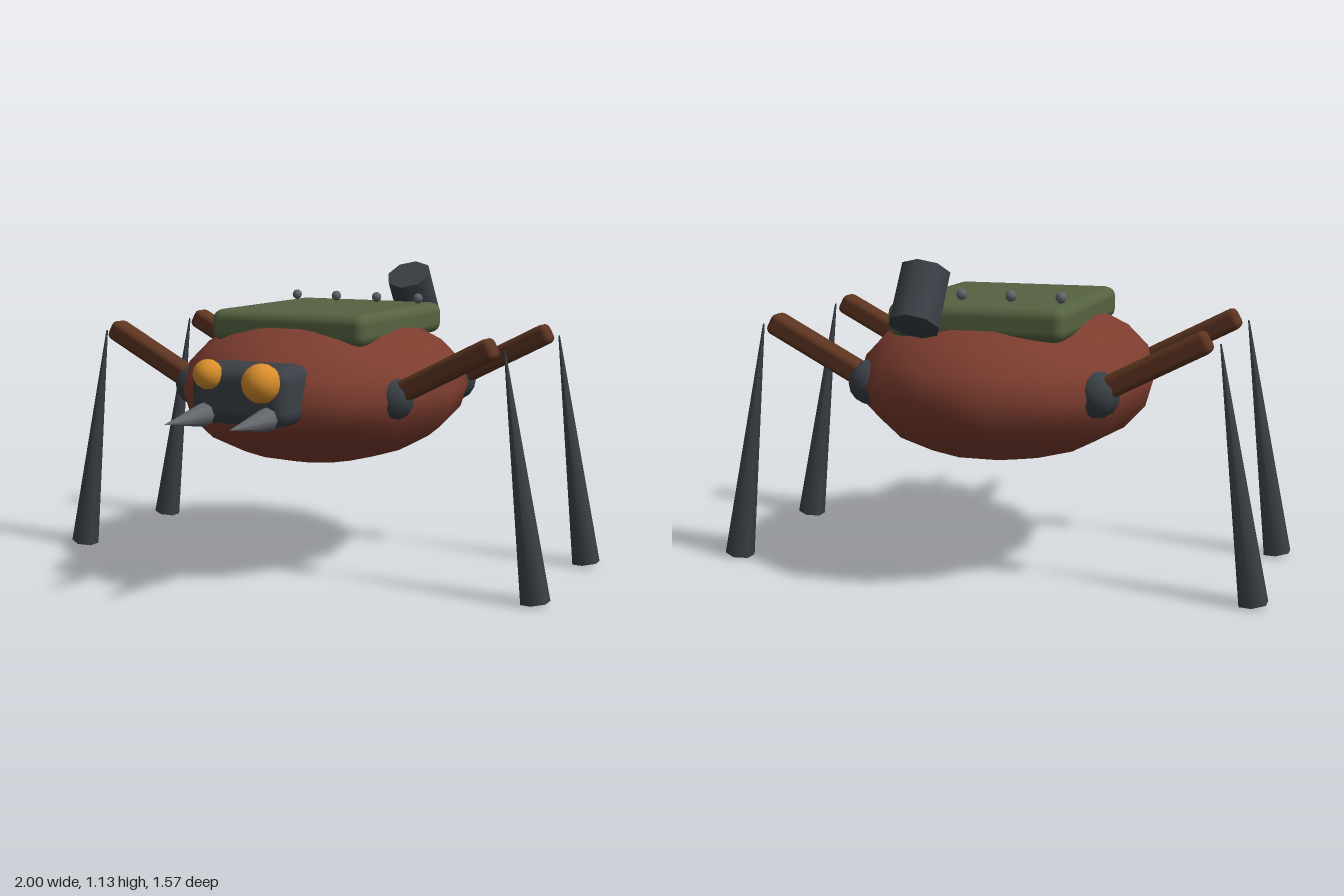
import * as THREE from 'three';
import { RoundedBoxGeometry } from 'three/addons/geometries/RoundedBoxGeometry.js';

const mat = (name, color) => {
  const m = new THREE.MeshStandardMaterial({ color });
  m.name = name;
  return m;
};

export function createModel() {
  const rust = mat('rust red', 0x7d3d2f);
  const olive = mat('olive green', 0x566341);
  const dark = mat('dark steel', 0x3a4046);
  const brown = mat('brown', 0x5c3420);
  const amber = mat('amber', 0xd98e2b);
  const grey = mat('grey metal', 0x63666c);

  const root = new THREE.Group();
  root.name = 'walker';
  const add = (name, geometry, material, x, y, z) => {
    const mesh = new THREE.Mesh(geometry, material);
    mesh.name = name;
    mesh.position.set(x, y, z);
    root.add(mesh);
    return mesh;
  };

  // Flattened egg-shaped body
  const bodyGeo = new THREE.SphereGeometry(1, 14, 10);
  bodyGeo.scale(0.53, 0.29, 0.636);
  add('body', bodyGeo, rust, 0, 0.68, -0.16);

  // Back armour with a row of rivets
  add('backPlate', new RoundedBoxGeometry(0.635, 0.12, 0.745, 2, 0.04), olive, 0, 0.92, -0.195);
  const rivetGeo = new THREE.SphereGeometry(0.02, 8, 6);
  for (let i = 0; i < 4; i++) {
    add('rivet', rivetGeo, grey, -0.268 + i * 0.178, 1.0, -0.43);
  }

  // Slanted exhaust pipe
  const exhaust = add('exhaust', new THREE.CylinderGeometry(0.089, 0.089, 0.207, 8), dark, 0.175, 1.0, -0.603);
  exhaust.rotation.x = 0.59;

  // Head, uneven eyes and fangs
  add('head', new RoundedBoxGeometry(0.39, 0.21, 0.22, 2, 0.055), dark, 0, 0.715, 0.42);
  add('smallEye', new THREE.SphereGeometry(0.053, 12, 8), amber, -0.11, 0.787, 0.53);
  add('largeEye', new THREE.SphereGeometry(0.069, 12, 8), amber, 0.105, 0.768, 0.535);
  const fangGeo = new THREE.ConeGeometry(0.043, 0.25, 8);
  fangGeo.rotateX(Math.PI / 2);
  for (const s of [-1, 1]) add('fang', fangGeo, grey, s * 0.125, 0.645, 0.66);

  // Four legs: hip ball, rising upper leg, spike-like lower leg
  const hipGeo = new THREE.SphereGeometry(0.08, 10, 8);
  const upperGeo = new RoundedBoxGeometry(0.43, 0.078, 0.085, 2, 0.022);
  const tip = new THREE.Vector2(0.822, 0.875);
  const foot = new THREE.Vector2(0.953, 0.008);
  const lowerGeo = new THREE.CylinderGeometry(0.003, 0.053, tip.distanceTo(foot), 6);
  const lean = Math.atan2(foot.x - tip.x, tip.y - foot.y);
  for (const z of [0.122, -0.485]) {
    for (const s of [-1, 1]) {
      add('hip', hipGeo, dark, s * 0.41, 0.685, z);
      add('upperLeg', upperGeo, brown, s * 0.595, 0.788, z).rotation.z = s * 0.48;
      add('lowerLeg', lowerGeo, dark, s * (tip.x + foot.x) / 2, (tip.y + foot.y) / 2, z).rotation.z = s * lean;
    }
  }
  return root;
}
